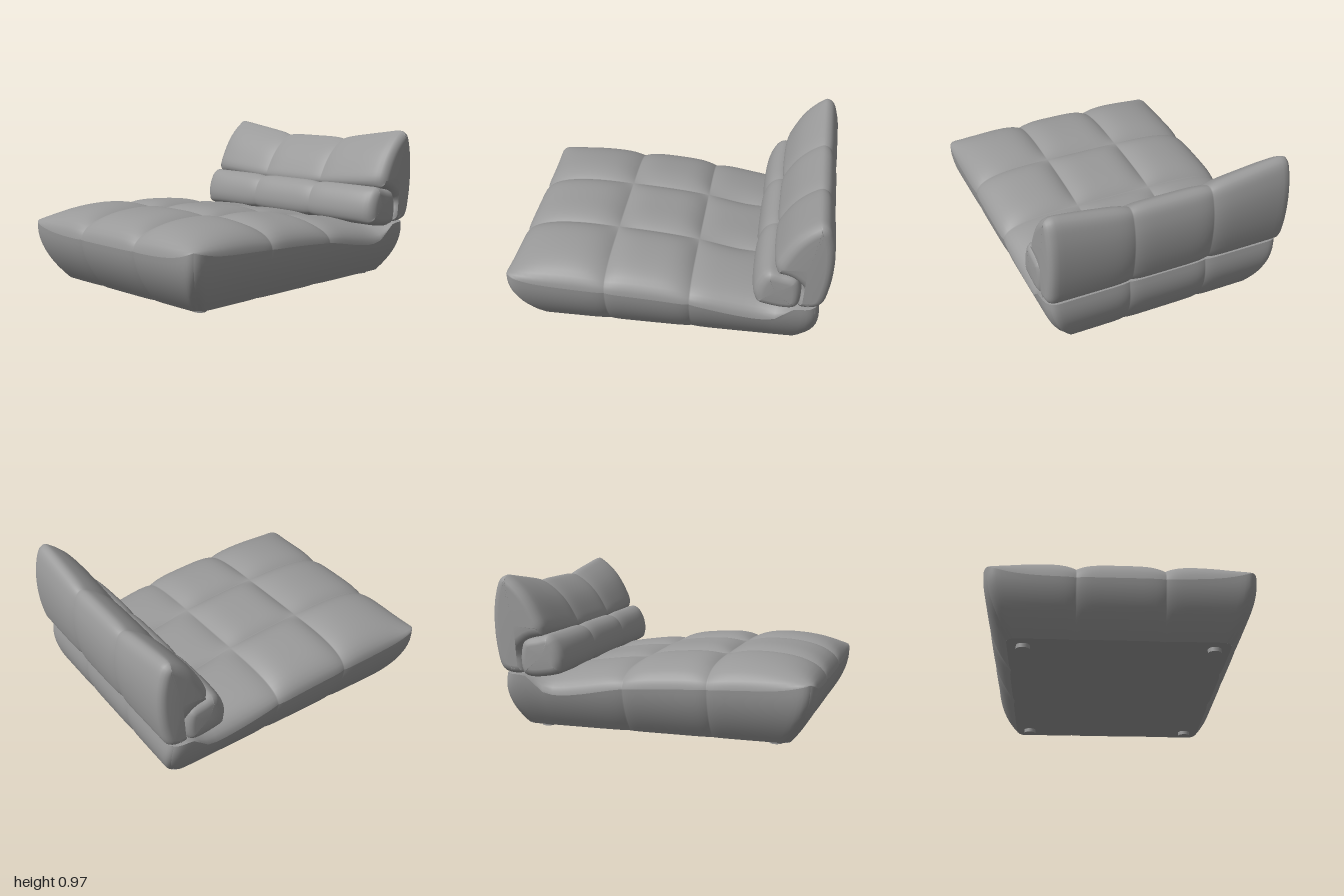
import * as THREE from 'three';

const N = 18; // grid steps per cushion cell
const X_CELLS = [-0.782, -0.255, 0.255, 0.782];
const Z_CELLS = [-0.942, -0.155, 0.37, 0.998];

// Smooth curve through [x, y] points, evaluated at x
function curveAt(pts, x) {
  const last = pts.length - 1;
  if (x <= pts[0][0]) return pts[0][1];
  if (x >= pts[last][0]) return pts[last][1];
  let i = 0;
  while (x > pts[i + 1][0]) i++;
  const slope = k => {
    const a = pts[Math.max(k - 1, 0)], b = pts[Math.min(k + 1, last)];
    return (b[1] - a[1]) / (b[0] - a[0]);
  };
  const h = pts[i + 1][0] - pts[i][0], t = (x - pts[i][0]) / h, s = 1 - t;
  return pts[i][1] * (1 + 2 * t) * s * s + slope(i) * h * t * s * s
    + pts[i + 1][1] * t * t * (3 - 2 * t) - slope(i + 1) * h * t * t * s;
}

// Position p in 0..3 over three cells: place, local coordinate a,
// and the same with the outer ends ignored (inner seams only)
function cell(p, bounds) {
  const i = Math.min(2, Math.max(0, Math.floor(p + 1e-6)));
  const a = Math.sin((p - i - 0.5) * Math.PI);
  const pos = (bounds[i] + bounds[i + 1]) / 2 + a * (bounds[i + 1] - bounds[i]) / 2;
  const outer = (i === 0 && a < 0) || (i === 2 && a > 0);
  return { pos, a: Math.abs(a), outer, inner: outer ? 0 : Math.abs(a) };
}

// Heights along z: top of the cushions, piping line, lift of the piping at the front corners
const CROWN = [[-0.95, 0.365], [-0.72, 0.367], [-0.5, 0.405], [-0.35, 0.43], [-0.15, 0.47],
  [0.1, 0.498], [0.37, 0.515], [0.65, 0.526], [1, 0.52]];
const PIPING = [[-0.95, 0.362], [-0.82, 0.36], [-0.77, 0.34], [-0.7, 0.268], [-0.6, 0.243],
  [-0.45, 0.257], [-0.15, 0.31], [0.37, 0.34], [1, 0.34]];
const LIFT = [[0.37, 0], [0.8, 0.022], [1, 0.06]];

// Seat: a box moved into a tapered, three by three tufted cushion
function seatGeometry() {
  const g = new THREE.BoxGeometry(3, 1, 3, 3 * N, 10, 3 * N);
  const pos = g.attributes.position;
  for (let k = 0; k < pos.count; k++) {
    const cx = cell(pos.getX(k) + 1.5, X_CELLS), cz = cell(pos.getZ(k) + 1.5, Z_CELLS);
    const t = pos.getY(k) + 0.5;
    const U = Math.min(1, Math.abs(cx.pos) / 0.782);
    const rear = cz.pos < 0;
    const V = Math.min(1, Math.abs(cz.pos) / (rear ? 0.942 : 0.998));
    const seam = curveAt(PIPING, cz.pos) + curveAt(LIFT, cz.pos) * U ** 5;
    let y = 0.025 + (seam - 0.025) * t;
    // walls curve in towards the floor and pinch at the seams
    const pinch = c => (c.outer ? 0.026 * c.a ** 14 : 0.01 * c.a ** 8);
    const taper = 0.16 * Math.max(0, 1 - y / 0.37) ** 2;
    const zTaper = rear ? 0.11 * (1 - y / 0.27) ** 2 : taper * 1.15;
    const x = cx.pos - Math.sign(cx.pos) * U ** 4 * (taper + pinch(cz));
    const z = cz.pos - Math.sign(cz.pos) * V ** 4 * (zTaper + pinch(cx));
    if (t > 0.999) {
      const drop = 0.045 * (1 - (1 - cx.inner ** 4) * (1 - cz.inner ** 4))
        * THREE.MathUtils.smoothstep(cz.pos, -0.75, -0.4);
      const fall = Math.sqrt(Math.max(0, 1 - U ** 5))
        * (rear ? 1 : Math.sqrt(Math.max(0, 1 - V ** 7)));
      y += (curveAt(CROWN, cz.pos) - drop - seam) * fall;
    }
    pos.setXYZ(k, x, y, z);
  }
  g.computeVertexNormals();
  return g;
}

// Back cushions: a (z, y) outline swept along x, pinched at the seams, rounded at the ends
function sweptCushion(outline, centre, topAt) {
  const M = 72, R = 0.05;
  const curve = new THREE.CatmullRomCurve3(
    outline.map(([z, y]) => new THREE.Vector3(0, y, z)), true, 'centripetal');
  const ring = [];
  for (let j = 0; j < M; j++) {
    const p = curve.getPoint(j / M), d = curve.getTangent(j / M);
    ring.push({ z: p.z, y: p.y, nz: -d.y, ny: d.z });
  }
  const verts = [], index = [], rows = 3 * N;
  for (let i = 0; i <= rows; i++) {
    const c = cell(i / N, X_CELLS), x = Math.abs(c.pos);
    const t = Math.min(1, Math.max(0, (x - 0.782 + R) / R));
    const inset = 0.012 * c.inner ** 6 + R * (1 - Math.sqrt(1 - t * t));
    const sweep = 0.035 * (x / 0.782) ** 9;
    for (const p of ring) {
      const front = Math.max(0, p.nz);
      const y = 0.37 + (p.y - 0.37) * topAt(x) - p.ny * inset;
      verts.push(c.pos, y, p.z - p.nz * inset - front * sweep);
    }
  }
  for (let i = 0; i < rows; i++) {
    for (let j = 0; j < M; j++) {
      const a = i * M + j, b = i * M + (j + 1) % M;
      index.push(a, b, a + M, b, b + M, a + M);
    }
  }
  // end caps
  const y = 0.37 + (centre[1] - 0.37) * topAt(0.782), c0 = verts.length / 3;
  verts.push(-0.784, y, centre[0], 0.784, y, centre[0]);
  for (let j = 0; j < M; j++) {
    const n = (j + 1) % M;
    index.push(c0, n, j, c0 + 1, rows * M + j, rows * M + n);
  }
  const g = new THREE.BufferGeometry();
  g.setAttribute('position', new THREE.Float32BufferAttribute(verts, 3));
  g.setIndex(index);
  g.computeVertexNormals();
  return g;
}

export function createModel() {
  const group = new THREE.Group();
  const fabric = new THREE.MeshStandardMaterial({ color: 0x999999 });
  fabric.name = 'grey fabric';
  const add = (name, geometry) => {
    const mesh = new THREE.Mesh(geometry, fabric);
    mesh.name = name;
    group.add(mesh);
    return mesh;
  };

  add('seat', seatGeometry());

  // Backrest, its top edge rising towards both ends
  const backOutline = [[-0.9, 0.37], [-0.95, 0.4], [-0.985, 0.52], [-1, 0.7], [-0.985, 0.85],
    [-0.95, 0.945], [-0.905, 0.968], [-0.84, 0.935], [-0.75, 0.85], [-0.68, 0.74],
    [-0.645, 0.65], [-0.66, 0.61], [-0.74, 0.585], [-0.82, 0.5], [-0.79, 0.38]];
  const rise = x => {
    const top = 0.9 + 0.07 * Math.min(1, Math.max(0, (x - 0.255) / 0.46));
    return (top - 0.37) / (0.968 - 0.37);
  };
  add('backrest', sweptCushion(backOutline, [-0.85, 0.66], rise));

  // Lumbar roll in front of the backrest
  const rollOutline = [[-0.8, 0.565], [-0.7, 0.6], [-0.63, 0.613], [-0.575, 0.585],
    [-0.535, 0.52], [-0.522, 0.44], [-0.54, 0.39], [-0.6, 0.365], [-0.8, 0.365]];
  add('lumbarRoll', sweptCushion(rollOutline, [-0.67, 0.48], () => 1));

  // Feet
  for (const x of [-0.55, 0.55]) {
    for (const z of [-0.74, 0.74]) {
      add('foot', new THREE.CylinderGeometry(0.04, 0.04, 0.03, 32)).position.set(x, 0.015, z);
    }
  }
  return group;
}
